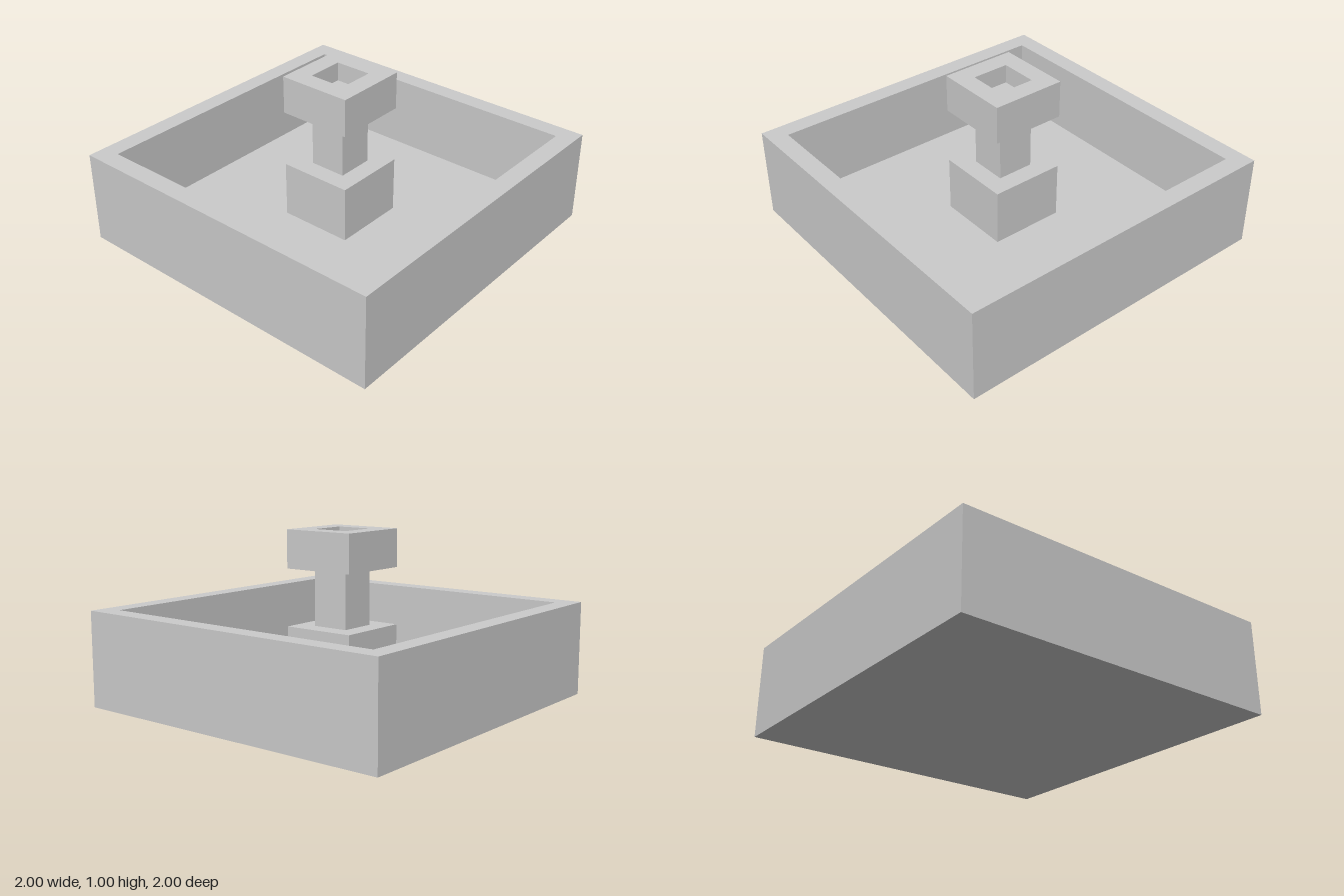
import * as THREE from 'three';

const UNIT = 1 / 9; // the whole model sits on a grid of ninths

// Four-sided lathe: each profile point is [half width, height] in grid units
function squareTurned(name, profile, material) {
  const points = profile.map(([half, y]) => new THREE.Vector2(half * UNIT * Math.SQRT2, y * UNIT));
  const geometry = new THREE.LatheGeometry(points, 4, Math.PI / 4).toNonIndexed();
  geometry.computeVertexNormals();
  const mesh = new THREE.Mesh(geometry, material);
  mesh.name = name;
  return mesh;
}

export function createModel() {
  const group = new THREE.Group();
  group.name = 'fountain';
  const material = new THREE.MeshStandardMaterial({ color: 0xcccccc, flatShading: true });

  // Profiles run on from one part to the next, forming one closed skin
  const parts = {
    // underside, outer wall, rim, inner wall and floor
    basin: [[0, 0], [9, 0], [9, 5], [8, 5], [8, 1], [2, 1]],
    // block standing on the basin floor
    pedestal: [[2, 1], [2, 4], [1, 4]],
    // slim square column
    column: [[1, 4], [1, 7]],
    // wide head with a square recess in its top
    upperBowl: [[1, 7], [2, 7], [2, 9], [1, 9], [1, 8], [0, 8]],
  };
  for (const [name, profile] of Object.entries(parts)) {
    group.add(squareTurned(name, profile, material));
  }
  return group;
}
